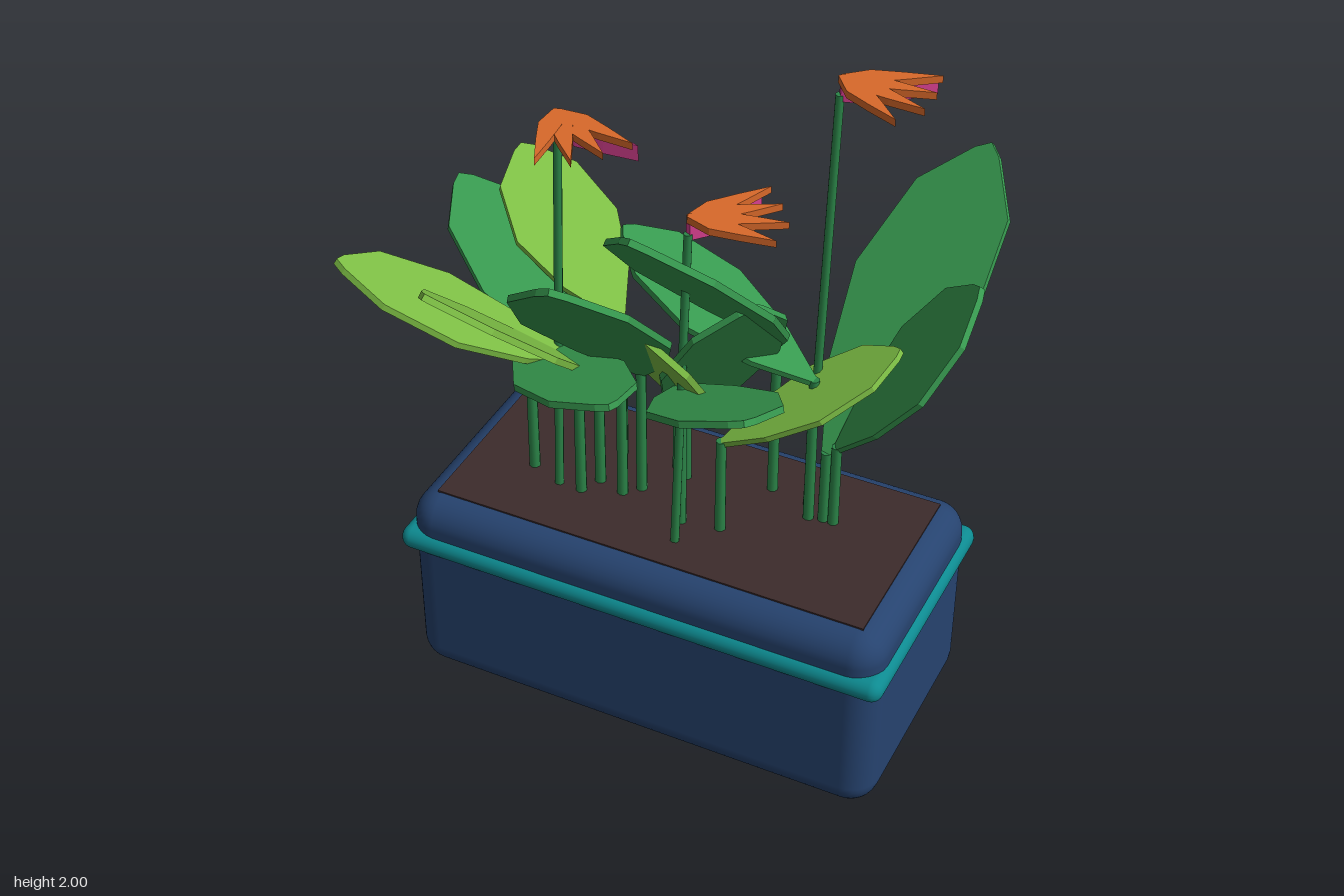
import * as THREE from 'three';
import { RoundedBoxGeometry } from 'three/addons/geometries/RoundedBoxGeometry.js';

const mat = (name, color) => {
  const m = new THREE.MeshStandardMaterial({ color });
  m.name = name;
  return m;
};

export function createModel() {
  const model = new THREE.Group();
  const navy = mat('navy', 0x26436f), teal = mat('teal', 0x0d8a90), earth = mat('soil brown', 0x3d2b2b);
  const green = mat('leaf green', 0x37994f), lime = mat('light leaf green', 0x7ec045);
  const stemGreen = mat('stem green', 0x2b8548), orange = mat('orange', 0xd9692a), pink = mat('pink', 0xd63f8f);
  const V = (p) => new THREE.Vector3(...p);
  const SOIL = 0.61, CX = 0.055, CZ = -0.02;

  function add(parent, name, geometry, material, x = 0, y = 0, z = 0) {
    const mesh = new THREE.Mesh(geometry, material);
    mesh.name = name;
    mesh.position.set(x, y, z);
    parent.add(mesh);
    return mesh;
  }

  // Planter box, rim band and soil
  add(model, 'planter', new RoundedBoxGeometry(1.43, 0.62, 0.71, 4, 0.085), navy, CX, 0.31, CZ);
  add(model, 'rimBand', new RoundedBoxGeometry(1.465, 0.07, 0.745, 4, 0.034), teal, CX, 0.477, CZ);
  add(model, 'soil', new THREE.BoxGeometry(1.29, 0.012, 0.565), earth, CX, 0.617, CZ);

  // Straight stem between two points
  function stem(parent, from, to, radius) {
    const a = V(from), b = V(to), d = b.clone().sub(a);
    const mesh = add(parent, 'stem', new THREE.CylinderGeometry(radius, radius * 1.1, d.length(), 8), stemGreen);
    mesh.position.copy(a).add(b).multiplyScalar(0.5);
    mesh.quaternion.setFromUnitVectors(new THREE.Vector3(0, 1, 0), d.normalize());
  }

  // Symmetric flat blade along +y from [along, halfWidth] pairs
  function blade(length, width, thickness, profile) {
    const right = profile.map(([t, w]) => new THREE.Vector2(w * width / 2, t * length));
    const left = profile.filter(([, w]) => w > 0).reverse()
      .map(([t, w]) => new THREE.Vector2(-w * width / 2, t * length));
    return new THREE.ExtrudeGeometry(new THREE.Shape([...right, ...left]), { depth: thickness, bevelEnabled: false })
      .translate(0, 0, -thickness / 2);
  }
  const leafProfile = [[0, 0.06], [0.24, 0.64], [0.53, 1], [0.82, 0.77], [0.97, 0.2], [1, 0]];

  // Leaf on its own upright stem; roll twists the blade about its midrib
  function leaf(base, tip, width, material, roll = 0) {
    const group = new THREE.Group();
    group.name = 'leafWithStem';
    model.add(group);
    stem(group, [base[0], SOIL, base[2]], [base[0], base[1] + 0.01, base[2]], 0.015);
    const axis = V(tip).sub(V(base)), length = axis.length();
    axis.normalize();
    const side = new THREE.Vector3(0, 1, 0).cross(axis).normalize().applyAxisAngle(axis, roll);
    const normal = side.clone().cross(axis);
    const mesh = add(group, 'leaf', blade(length, width, 0.018, leafProfile), material, ...base);
    mesh.quaternion.setFromRotationMatrix(new THREE.Matrix4().makeBasis(side, axis, normal));
  }

  // Green leaves
  leaf([0.43, 0.85, -0.1], [0.62, 1.54, -0.73], 0.4, green);
  leaf([0.46, 0.88, -0.1], [0.77, 1.4, -0.27], 0.34, green);
  leaf([-0.08, 1.03, 0.0], [0.05, 1.79, 0.72], 0.39, green);
  leaf([0.25, 1.13, -0.16], [0.16, 1.845, 0.53], 0.41, green);
  leaf([0.08, 1.09, 0.08], [0.475, 1.44, 0.56], 0.34, green);
  leaf([-0.12, 1.0, 0.04], [-0.79, 1.31, -0.27], 0.34, green);
  leaf([0.39, 1.09, -0.09], [-0.2, 1.39, -0.13], 0.3, green);
  leaf([-0.4, 1.05, 0.04], [0.1, 1.34, 0.53], 0.3, green);
  leaf([0.01, 0.83, -0.1], [0.32, 1.48, 0.17], 0.34, green);

  // Light leaves
  leaf([-0.2, 1.0, 0.02], [-0.37, 1.57, 0.6], 0.33, lime);
  leaf([-0.23, 1.07, 0.08], [-0.74, 1.46, 0.43], 0.32, lime);
  leaf([-0.2, 1.08, -0.12], [-0.67, 1.36, -0.42], 0.32, lime);
  leaf([-0.03, 0.87, -0.13], [0.1, 1.47, 0.38], 0.36, lime, -0.5);
  leaf([0.19, 0.92, 0.06], [0.6, 1.21, -0.17], 0.24, lime);

  // Flowers: stem, pink beak and a flat fan of orange petals; heading turns from +x towards +z
  const petalProfile = [[0, 0.25], [0.3, 1], [0.62, 0.6], [1, 0]];
  function horizontalBlade(parent, name, length, width, thickness, material, y, angle) {
    const geometry = blade(length, width, thickness, petalProfile).rotateX(Math.PI / 2).rotateY(Math.PI / 2);
    add(parent, name, geometry, material, 0, y, 0).rotation.y = -THREE.MathUtils.degToRad(angle);
  }
  function flower(foot, top, heading) {
    const group = new THREE.Group();
    group.name = 'flower';
    model.add(group);
    stem(group, [foot[0], SOIL, foot[1]], top, 0.012);
    const head = new THREE.Group();
    head.name = 'flowerHead';
    head.position.set(...top);
    group.add(head);
    horizontalBlade(head, 'beak', 0.245, 0.06, 0.045, pink, 0.005, heading);
    [7, 27, 47, 68].forEach((offset, i) =>
      horizontalBlade(head, 'petal', 0.25 - 0.008 * (i % 2), 0.06, 0.02, orange, 0.042 + 0.001 * i, heading + offset));
  }
  flower([-0.3, 0.08], [-0.27, 1.795, 0.08], 7);
  flower([0.365, -0.14], [0.4, 1.945, -0.145], -33);
  flower([0.1, 0.16], [0.135, 1.64, 0.16], -66);

  return model;
}
